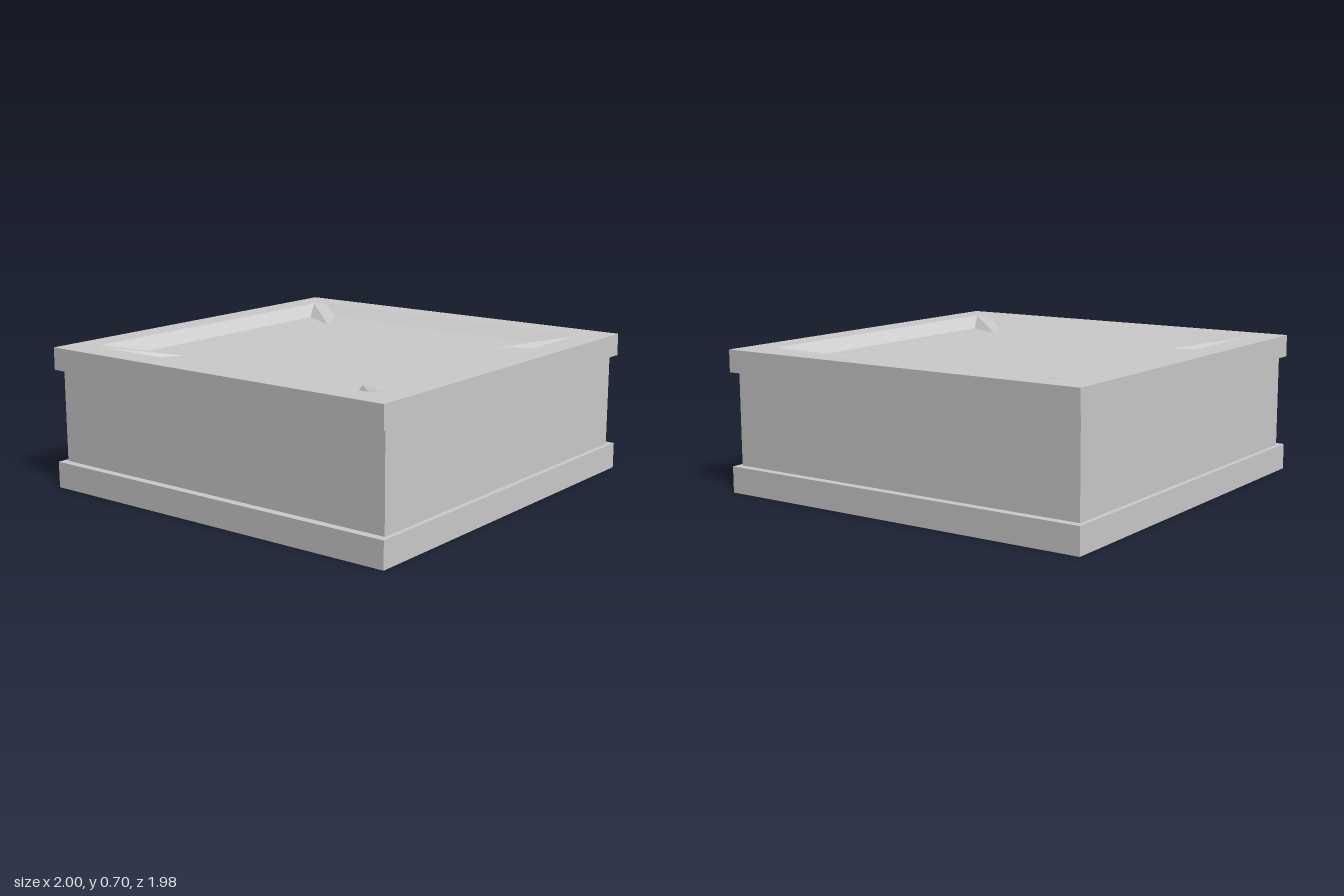
import * as THREE from 'three';

const material = new THREE.MeshStandardMaterial({ color: 0xcccccc, flatShading: true, side: THREE.DoubleSide });

function addMesh(parent, name, geometry) {
  const mesh = new THREE.Mesh(geometry, material);
  mesh.name = name;
  parent.add(mesh);
  return mesh;
}

// Flat-shaded geometry from a list of triangles, each three [x, y, z] corners
function fromTriangles(triangles) {
  const geometry = new THREE.BufferGeometry();
  geometry.setAttribute('position', new THREE.Float32BufferAttribute(triangles.flat(2), 3));
  geometry.computeVertexNormals();
  return geometry;
}

// Closed solid through rectangular sections [halfWidth, y, halfDepth]
function rectLoft(sections) {
  const loops = sections.map(([w, y, d]) => [[w, y, d], [w, y, -d], [-w, y, -d], [-w, y, d]]);
  const triangles = [];
  for (let s = 0; s < loops.length - 1; s++) {
    const lower = loops[s], upper = loops[s + 1];
    for (let i = 0; i < 4; i++) {
      const j = (i + 1) % 4;
      triangles.push([lower[i], lower[j], upper[j]], [lower[i], upper[j], upper[i]]);
    }
  }
  const first = loops[0], last = loops[loops.length - 1];
  triangles.push([first[0], first[2], first[1]], [first[0], first[3], first[2]]);
  triangles.push([last[0], last[1], last[2]], [last[0], last[2], last[3]]);
  return fromTriangles(triangles);
}

// Pointed wedge running from a recess corner down to the floor
function cornerWedge(sx, sz, rimY, floorY) {
  const p = (x, y, z) => [x * sx, y, z * sz];
  const corner = p(0.86, rimY, 0.848);
  const rimA = p(0.82, rimY, 0.848), rimB = p(0.86, rimY, 0.8);
  const footA = p(0.69, floorY, 0.77), footB = p(0.785, floorY, 0.668);
  const tip = p(0.56, floorY, 0.545);
  const triangles = [
    [corner, rimB, rimA],
    [rimA, rimB, tip],
    [rimA, tip, footA],
    [rimB, footB, tip],
  ];
  // Mirroring on one axis reverses the corner order
  return fromTriangles(sx * sz < 0 ? triangles.map(([a, b, c]) => [a, c, b]) : triangles);
}

export function createModel() {
  const model = new THREE.Group();
  model.name = 'pedestal';
  const rimY = 0.7, floorY = 0.645;

  // Lower band and inset body
  addMesh(model, 'base', new THREE.BoxGeometry(2, 0.13, 1.975)).position.y = 0.065;
  addMesh(model, 'body', new THREE.BoxGeometry(1.92, 0.46, 1.925)).position.y = 0.36;

  // Top slab with a shallow, bevelled recess
  addMesh(model, 'topSlab', rectLoft([
    [1, 0.59, 0.985],
    [1, rimY, 0.985],
    [0.86, rimY, 0.848],
    [0.785, floorY, 0.77],
  ]));

  // Wedges in the four recess corners
  const wedges = new THREE.Group();
  wedges.name = 'cornerWedges';
  model.add(wedges);
  for (const sx of [-1, 1]) {
    for (const sz of [-1, 1]) {
      addMesh(wedges, 'cornerWedge', cornerWedge(sx, sz, rimY, floorY));
    }
  }
  return model;
}
